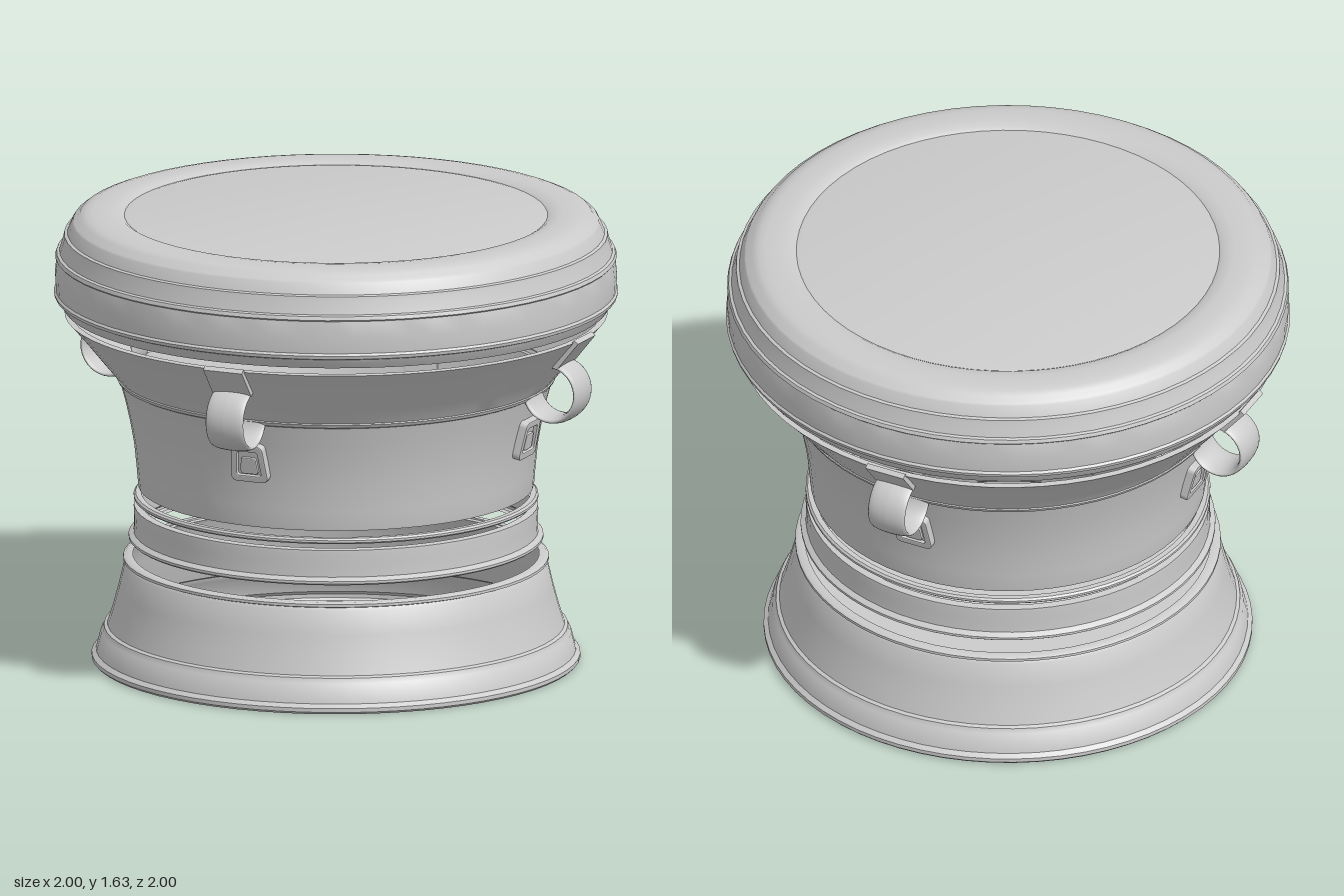
import * as THREE from 'three';
import { toCreasedNormals } from 'three/addons/utils/BufferGeometryUtils.js';

const material = new THREE.MeshStandardMaterial({ color: 0xcccccc, side: THREE.DoubleSide });

function addMesh(parent, name, geometry) {
  const mesh = new THREE.Mesh(geometry, material);
  mesh.name = name;
  parent.add(mesh);
  return mesh;
}

// Turned section from a bottom-to-top list of [radius, height]
function turned(parent, name, profile) {
  const points = profile.map(([r, y]) => new THREE.Vector2(r, y));
  return addMesh(parent, name, toCreasedNormals(new THREE.LatheGeometry(points, 64), 0.6));
}

// Tapered plate outline with rounded corners, centred on the origin
function plateOutline(target, w, h) {
  const b = w / 2, t = w * 0.43, y = h / 2, c = w * 0.15;
  target.moveTo(-b + c, -y);
  target.lineTo(b - c, -y);
  target.quadraticCurveTo(b, -y, b, -y + c);
  target.lineTo(t, y - c);
  target.quadraticCurveTo(t, y, t - c, y);
  target.lineTo(-t + c, y);
  target.quadraticCurveTo(-t, y, -t, y - c);
  target.lineTo(-b, -y + c);
  target.quadraticCurveTo(-b, -y, -b + c, -y);
  return target;
}

function extrude(shape, depth) {
  return new THREE.ExtrudeGeometry(shape, {
    depth, bevelEnabled: true, bevelSize: 0.004, bevelThickness: 0.004, bevelSegments: 2, curveSegments: 6,
  });
}

// Strap loop with its mounting plate and buckle, on the +z side
function createHandle() {
  const handle = new THREE.Group();
  handle.name = 'handle';

  // Closed loop of wide strap with a lens-shaped section
  const section = [];
  for (let i = 0; i <= 20; i++) {
    const a = (i / 20) * Math.PI * 2;
    section.push(new THREE.Vector2(0.098 + 0.014 * Math.cos(a), 0.073 * Math.sin(a)));
  }
  const loop = addMesh(handle, 'strapLoop', new THREE.LatheGeometry(section, 40));
  loop.rotation.z = Math.PI / 2;
  loop.position.set(0, 1.06, 0.86);
  loop.scale.x = 1.03;

  // Plate lying on the flared shoulder
  const mount = addMesh(handle, 'mountPlate', new THREE.BoxGeometry(0.15, 0.13, 0.02));
  mount.position.set(0, 1.21, 0.926);
  mount.rotation.x = 0.68;

  // Buckle: back plate, raised frame and centre tab
  const buckle = new THREE.Group();
  buckle.name = 'buckle';
  buckle.position.set(0, 0.877, 0.728);
  buckle.rotation.x = 0.22;
  addMesh(buckle, 'buckleBack', extrude(plateOutline(new THREE.Shape(), 0.125, 0.125), 0.012));
  const frame = plateOutline(new THREE.Shape(), 0.134, 0.134);
  frame.holes.push(plateOutline(new THREE.Path(), 0.1, 0.1));
  addMesh(buckle, 'buckleFrame', extrude(frame, 0.026));
  const tab = addMesh(buckle, 'buckleTab', extrude(plateOutline(new THREE.Shape(), 0.06, 0.055), 0.022));
  tab.position.y = -0.01;
  handle.add(buckle);
  return handle;
}

export function createModel() {
  const drum = new THREE.Group();
  drum.name = 'drum';

  // Flared foot with closed underside
  turned(drum, 'foot', [
    [0, 0], [0.858, 0], [0.866, 0.008], [0.866, 0.022], [0.856, 0.03], [0.85, 0.035],
    [0.834, 0.098], [0.828, 0.104], [0.822, 0.122], [0.81, 0.128], [0.79, 0.19],
    [0.77, 0.265], [0.75, 0.35], [0.743, 0.36], [0.754, 0.364], [0.754, 0.374], [0.745, 0.38], [0.72, 0.38],
  ]);

  // Waist band with beaded lower edge
  turned(drum, 'waistBand', [
    [0.7, 0.438], [0.727, 0.438], [0.735, 0.444], [0.735, 0.453], [0.725, 0.46],
    [0.717, 0.465], [0.715, 0.51], [0.717, 0.55], [0.716, 0.562], [0.69, 0.565],
  ]);

  // Separate thin ring
  turned(drum, 'waistRing', [
    [0.69, 0.584], [0.71, 0.584], [0.717, 0.59], [0.717, 0.598], [0.71, 0.605], [0.69, 0.605],
  ]);

  // Body and flared shoulder
  turned(drum, 'body', [
    [0.68, 0.63], [0.7, 0.63], [0.702, 0.64], [0.707, 0.7], [0.716, 0.79], [0.73, 0.87],
    [0.748, 0.95], [0.767, 1.018], [0.775, 1.022], [0.781, 1.034], [0.778, 1.038],
    [0.83, 1.1], [0.89, 1.174], [0.94, 1.233], [0.962, 1.257], [0.94, 1.26],
  ]);

  // Bulging rim with raised lines and the playing surface
  turned(drum, 'rimAndDrumhead', [
    [0.93, 1.285], [0.967, 1.287], [0.98, 1.308], [0.987, 1.322], [0.997, 1.326], [1, 1.338],
    [0.993, 1.346], [0.996, 1.4], [0.99, 1.462], [0.995, 1.467], [0.99, 1.48], [0.98, 1.484],
    [0.966, 1.53], [0.963, 1.546], [0.952, 1.55], [0.935, 1.588], [0.93, 1.595], [0.918, 1.6],
    [0.908, 1.612], [0.885, 1.621], [0.86, 1.626], [0.8, 1.626], [0.765, 1.622],
    [0.75, 1.613], [0.735, 1.616], [0, 1.618],
  ]);

  // Four handles around the shoulder
  for (let i = 0; i < 4; i++) {
    const handle = createHandle();
    handle.rotation.y = (i * Math.PI) / 2;
    drum.add(handle);
  }
  return drum;
}
